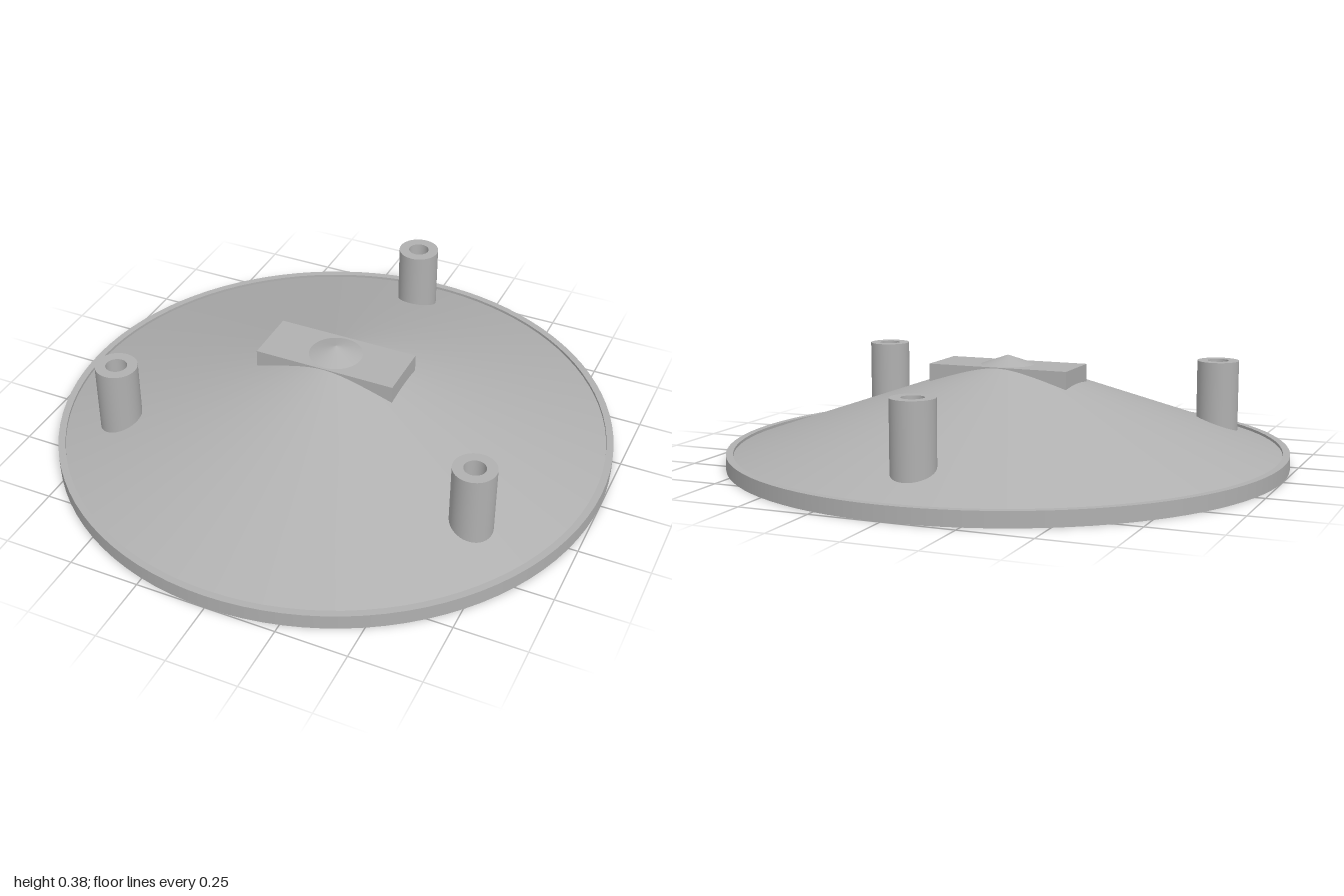
import * as THREE from 'three';
import { mergeGeometries } from 'three/addons/utils/BufferGeometryUtils.js';

const SEGMENTS = 96;
const STEP = (Math.PI * 2) / SEGMENTS;
const APEX = 0.38, SLOPE = 0.3455;      // upper cone
const UNDER_APEX = 0.335, UNDER_R = 0.978; // lower cone, reaches y = 0 at UNDER_R
const LIP_R = 0.975, RIM_TOP = 0.053;
const POST_R = 0.77, POST_OUTER = 0.075, POST_HOLE = 0.038, POST_TOP = 0.345;
const BLOCK_TOP = 0.347, HOLE_DEPTH = 0.2;

const topY = (r) => APEX - SLOPE * r;
const underY = (r) => UNDER_APEX * (1 - r / UNDER_R);

// Revolve each straight run of a profile separately so its corners stay sharp
function revolve(profile, segments, start = 0, length = Math.PI * 2) {
  const runs = [];
  for (let i = 0; i < profile.length - 1; i++) {
    const pair = [profile[i], profile[i + 1]].map(([r, y]) => new THREE.Vector2(r, y));
    runs.push(new THREE.LatheGeometry(pair, segments, start, length));
  }
  return mergeGeometries(runs);
}

// Upper and lower skin of the conical shell between two radii
function shellBand(inner, outer, segments, start, length) {
  return mergeGeometries([
    revolve([[outer, topY(outer)], [inner, topY(inner)]], segments, start, length),
    revolve([[inner, underY(inner)], [outer, underY(outer)]], segments, start, length),
  ]);
}

export function createModel() {
  const group = new THREE.Group();
  const grey = new THREE.MeshStandardMaterial({ color: 0xb0b0b0 });
  grey.name = 'grey';

  const add = (name, geometry, parent = group) => {
    const mesh = new THREE.Mesh(geometry, grey);
    mesh.name = name;
    parent.add(mesh);
    return mesh;
  };

  // Conical shell; the middle band is left open inside each post for its bore
  const bandIn = POST_R - 0.045, bandOut = POST_R + 0.045;
  const bands = [shellBand(0, bandIn, SEGMENTS), shellBand(bandOut, LIP_R, SEGMENTS)];
  const postAngles = [1, 3, 5].map((k) => (k * Math.PI) / 3);
  for (const angle of postAngles) {
    bands.push(shellBand(bandIn, bandOut, SEGMENTS / 3 - 2, angle + STEP, (Math.PI * 2) / 3 - 2 * STEP));
  }
  add('coneShell', mergeGeometries(bands));

  // Outer rim with a small raised lip
  add('rim', revolve([
    [LIP_R, 0], [1, 0], [1, RIM_TOP], [LIP_R, RIM_TOP], [LIP_R, topY(LIP_R)],
  ], SEGMENTS));

  // Three hollow posts running through the shell
  const postGeometry = revolve([
    [POST_HOLE, 0], [POST_OUTER, 0], [POST_OUTER, POST_TOP], [POST_HOLE, POST_TOP], [POST_HOLE, 0],
  ], 40);
  for (const angle of postAngles) {
    add('post', postGeometry).position.set(POST_R * Math.sin(angle), 0, POST_R * Math.cos(angle));
  }

  // Central mounting block with two blind holes underneath
  const block = new THREE.Group();
  block.name = 'mountingBlock';
  group.add(block);
  const w = 0.26, d = 0.105;
  const outline = new THREE.Shape([
    new THREE.Vector2(-w, -d), new THREE.Vector2(w, -d),
    new THREE.Vector2(w, d), new THREE.Vector2(-w, d),
  ]);
  for (const side of [-1, 1]) {
    outline.holes.push(new THREE.Path().absarc(side * 0.17, 0, 0.029, 0, Math.PI * 2, true));
  }
  const lower = new THREE.ExtrudeGeometry(outline, { depth: HOLE_DEPTH, bevelEnabled: false, curveSegments: 24 });
  add('blockLower', lower.rotateX(-Math.PI / 2), block);
  const upperHeight = BLOCK_TOP - HOLE_DEPTH;
  add('blockUpper', new THREE.BoxGeometry(2 * w, upperHeight, 2 * d), block)
    .position.y = HOLE_DEPTH + upperHeight / 2;

  return group;
}
